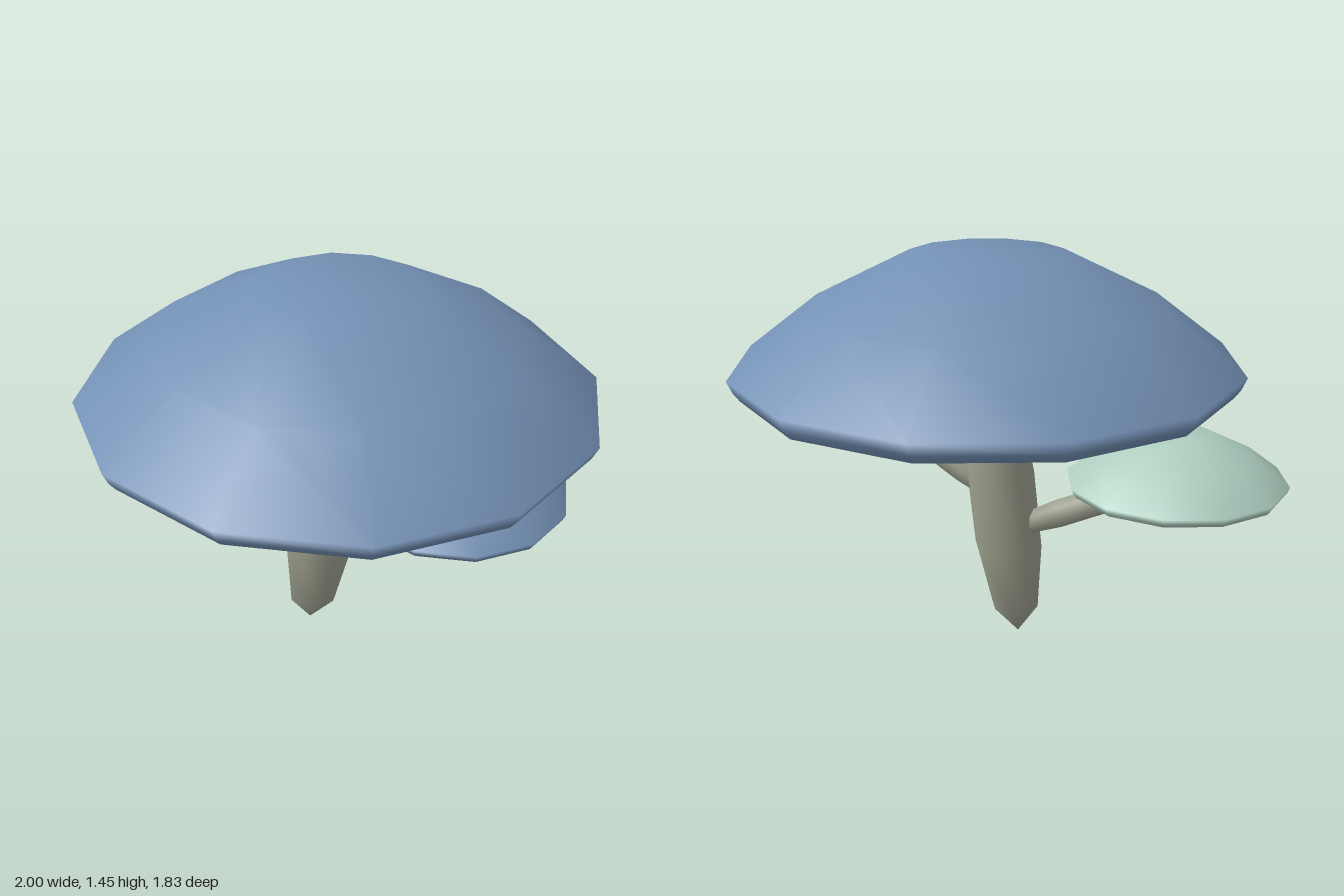
import * as THREE from 'three';

const mat = (name, color, side = THREE.FrontSide) => {
  const m = new THREE.MeshStandardMaterial({ color, side });
  m.name = name;
  return m;
};
const V2 = (pts) => pts.map(([r, y]) => new THREE.Vector2(r, y));

// Cap profile, from the centre of the underside round the rim to the crown
const CAP = V2([[0, 0.01], [0.4, 0.01], [0.82, 0.004], [0.872, 0], [0.895, 0.03], [0.915, 0.075],
  [0.64, 0.285], [0.28, 0.465], [0, 0.468]]);

// Gill blade: its lower edge dips out of the underside near the stem and near the rim
const GILL = new THREE.Shape(V2([[0.1, 0.04], [0.1, 0.008], [0.2, -0.006], [0.4, 0.014], [0.66, 0.014],
  [0.78, -0.008], [0.84, 0.004], [0.84, 0.04]]));

function mesh(name, geometry, material) {
  const m = new THREE.Mesh(geometry, material);
  m.name = name;
  return m;
}

// A twelve-sided cap with radiating gills
function makeCap(name, capMat, gillMat, scale, x, y, z) {
  const cap = new THREE.Group();
  cap.name = name;
  cap.add(mesh(name + 'Dome', new THREE.LatheGeometry(CAP, 12), capMat));
  const blade = new THREE.ExtrudeGeometry(GILL, { depth: 0.008, bevelEnabled: false });
  blade.translate(0, 0, -0.004);
  const count = 18;
  for (let i = 0; i < count; i++) {
    const gill = mesh(name + 'Gill', blade, gillMat);
    gill.rotation.y = ((i + 0.3) / count) * Math.PI * 2;
    cap.add(gill);
  }
  cap.scale.setScalar(scale);
  cap.position.set(x, y, z);
  return cap;
}

// A tapered side stalk running between two points
function makeBranch(name, material, from, to) {
  const a = new THREE.Vector3(...from);
  const dir = new THREE.Vector3(...to).sub(a);
  const len = dir.length();
  const profile = V2([[0, 0], [0.04, 0.06 * len], [0.054, 0.3 * len], [0.052, 0.6 * len],
    [0.036, 0.92 * len], [0, len]]);
  const branch = mesh(name, new THREE.LatheGeometry(profile, 8), material);
  branch.position.copy(a);
  branch.quaternion.setFromUnitVectors(new THREE.Vector3(0, 1, 0), dir.normalize());
  return branch;
}

// The main stem: a lathe whose rings lean gently towards +x
function makeStem(material) {
  const geo = new THREE.LatheGeometry(V2([[0, 0], [0.088, 0.11], [0.127, 0.36], [0.128, 0.66],
    [0.088, 0.96], [0.06, 1.03], [0, 1.08]]), 8);
  const p = geo.attributes.position;
  for (let i = 0; i < p.count; i++) {
    const y = p.getY(i);
    p.setX(i, p.getX(i) - 0.03 + 0.105 * y);
  }
  return mesh('stem', geo, material);
}

export function createModel() {
  const blue = mat('blueCap', 0x7390b4);
  const green = mat('paleGreenCap', 0xadcdbf);
  const stalk = mat('stalk', 0x9a9d8b);
  const gill = mat('gill', 0xb9c6b2);

  const model = new THREE.Group();
  model.name = 'mushroomCluster';
  model.add(
    makeStem(stalk),
    makeBranch('leftBranch', stalk, [0.02, 0.535, 0], [0.57, 0.85, 0.105]),
    makeBranch('rightBranch', stalk, [-0.01, 0.425, 0], [-0.63, 0.725, -0.11]),
    makeCap('mainCap', blue, gill, 1, 0.083, 0.984, 0),
    makeCap('leftCap', blue, gill, 0.42, 0.555, 0.812, 0.105),
    makeCap('rightCap', green, gill, 0.42, -0.617, 0.684, -0.107),
  );
  return model;
}
